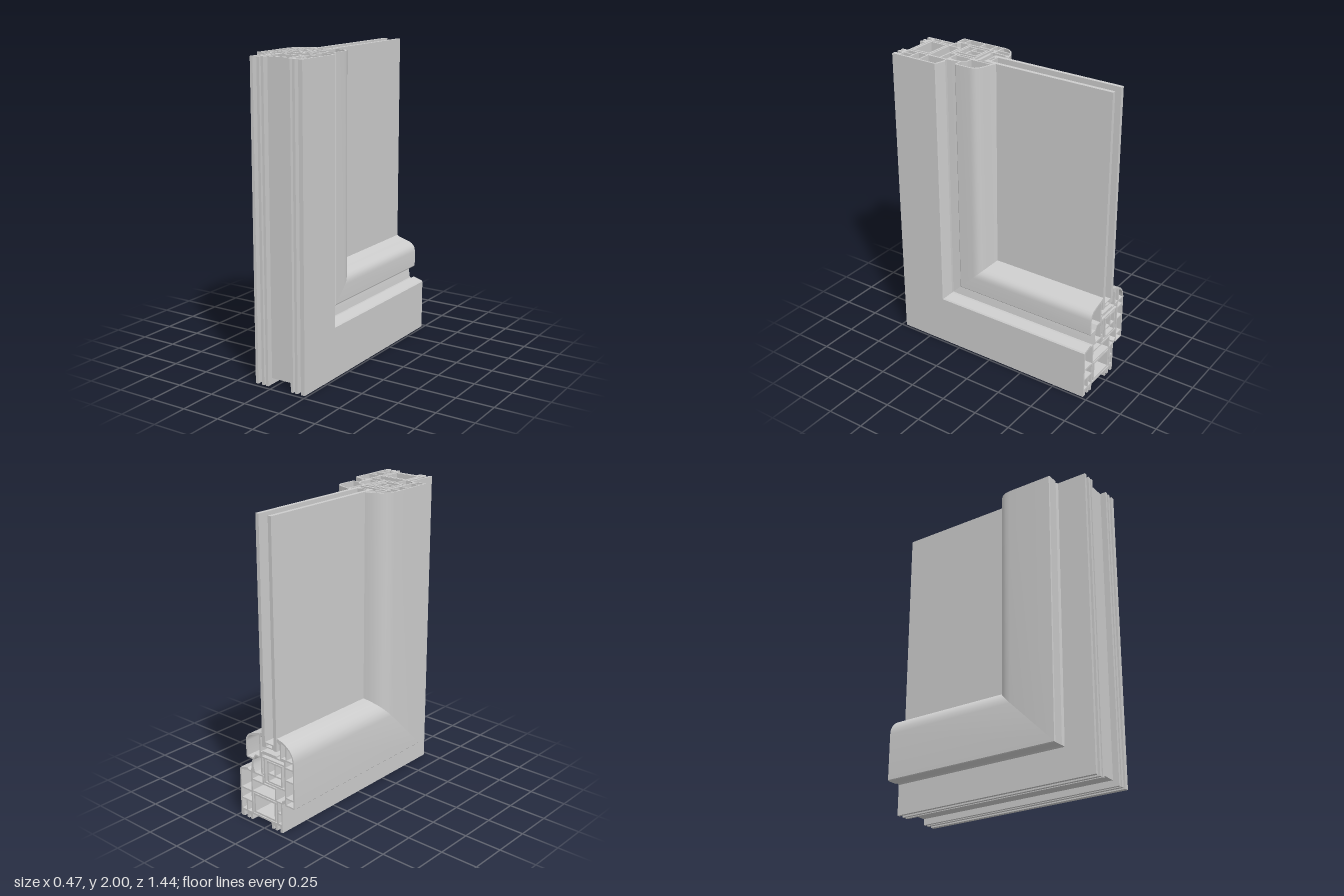
import * as THREE from 'three';
import { toCreasedNormals } from 'three/addons/utils/BufferGeometryUtils.js';

const L = 0.72; // half depth of the sample
const H = 2;    // height of the sample
const material = new THREE.MeshStandardMaterial({ color: 0xcccccc });

// Closed rectangle as [x, d] points; d is the distance in from the outer edge
const rect = (x0, d0, x1, d1) => [[x0, d0], [x1, d0], [x1, d1], [x0, d1]];
const toPoints = (list) => list.map(([x, d]) => new THREE.Vector2(x, d));

// One leg of a profile, cut square at its free end and mitred at the corner
function legGeometry(outline, holes, upright) {
  const shape = new THREE.Shape(toPoints(outline));
  holes.forEach((h) => shape.holes.push(new THREE.Path(toPoints(h))));
  const geo = new THREE.ExtrudeGeometry(shape, { depth: 1, bevelEnabled: false });
  geo.deleteAttribute('uv');
  const p = geo.attributes.position;
  for (let i = 0; i < p.count; i++) {
    const x = p.getX(i), d = p.getY(i), end = p.getZ(i) > 0.5;
    if (upright) p.setXYZ(i, x, end ? H : d, L - d);
    else p.setXYZ(i, x, d, end ? -L : L - d);
  }
  // The lying leg is mirrored, so its triangles are turned round
  if (!upright) {
    const a = new THREE.Vector3(), b = new THREE.Vector3();
    for (let i = 0; i < p.count; i += 3) {
      a.fromBufferAttribute(p, i + 1);
      b.fromBufferAttribute(p, i + 2);
      p.setXYZ(i + 1, b.x, b.y, b.z);
      p.setXYZ(i + 2, a.x, a.y, a.z);
    }
  }
  return toCreasedNormals(geo, 0.5);
}

// Both legs of an L-shaped corner
function corner(name, outline, holes = []) {
  const group = new THREE.Group();
  group.name = name;
  for (const upright of [true, false]) {
    const mesh = new THREE.Mesh(legGeometry(outline, holes, upright), material);
    mesh.name = name + (upright ? 'Upright' : 'Sill');
    group.add(mesh);
  }
  return group;
}

export function createModel() {
  const model = new THREE.Group();
  model.name = 'windowCornerSample';

  // Fixed outer frame: feet, outer walls, chambered body
  model.add(corner('frame', [
    [-0.13, 0], [-0.11, 0], [-0.11, 0.04], [-0.083, 0.04],
    [-0.083, 0], [-0.065, 0], [-0.065, 0.025], [-0.052, 0.025], [-0.052, 0], [-0.035, 0], [-0.035, 0.04],
    [0.133, 0.04], [0.133, 0], [0.15, 0], [0.15, 0.025], [0.165, 0.025], [0.165, 0], [0.183, 0], [0.183, 0.04],
    [0.207, 0.04], [0.207, 0], [0.235, 0],
    [0.235, 0.33], [0.228, 0.338], [0.165, 0.356], [0.155, 0.345], [0.025, 0.345], [0.025, 0.292],
    [-0.08, 0.292], [-0.08, 0.21], [-0.13, 0.21],
  ], [
    rect(-0.12, 0.055, -0.095, 0.12), rect(-0.12, 0.13, -0.095, 0.2),
    rect(-0.083, 0.052, 0.125, 0.2),
    rect(-0.07, 0.21, 0.125, 0.282), rect(0.035, 0.292, 0.125, 0.335),
    rect(0.137, 0.052, 0.175, 0.12), rect(0.185, 0.052, 0.223, 0.12),
    rect(0.137, 0.13, 0.223, 0.195),
    [[0.137, 0.205], [0.223, 0.205], [0.223, 0.325], [0.17, 0.338], [0.137, 0.335]],
  ]));

  // Opening sash: overlap leg, core and rounded lips on both sides of the glass
  model.add(corner('sash', [
    [-0.23, 0.2], [-0.16, 0.2], [-0.155, 0.206], [-0.155, 0.3], [0.02, 0.3], [0.02, 0.35], [0.045, 0.35],
    [0.045, 0.46], [0.09, 0.46], [0.105, 0.43], [0.165, 0.43], [0.172, 0.438],
    [0.172, 0.54], [0.169, 0.562], [0.16, 0.58], [0.145, 0.594], [0.125, 0.604], [0.1, 0.612], [0.045, 0.628],
    [0.03, 0.637], [0.03, 0.615], [0.045, 0.6], [0.045, 0.505],
    [-0.12, 0.505], [-0.12, 0.6], [-0.1, 0.612], [-0.1, 0.637],
    [-0.14, 0.626], [-0.17, 0.612], [-0.197, 0.593], [-0.217, 0.57], [-0.23, 0.542], [-0.235, 0.51], [-0.235, 0.205],
  ], [
    rect(-0.225, 0.21, -0.165, 0.25), rect(-0.225, 0.26, -0.165, 0.37), rect(-0.225, 0.38, -0.165, 0.455),
    rect(-0.225, 0.465, -0.165, 0.505),
    [[-0.225, 0.515], [-0.175, 0.515], [-0.175, 0.597], [-0.2, 0.577], [-0.218, 0.55]],
    [[-0.165, 0.515], [-0.13, 0.515], [-0.13, 0.615], [-0.165, 0.603]],
    rect(-0.153, 0.31, 0.01, 0.465), rect(0.02, 0.36, 0.035, 0.465), rect(-0.153, 0.475, 0.035, 0.495),
    [[0.055, 0.47], [0.095, 0.47], [0.112, 0.44], [0.162, 0.44], [0.162, 0.54], [0.155, 0.565], [0.14, 0.584],
      [0.1, 0.6], [0.055, 0.613]],
  ]));

  // Metal stiffeners inside the chambers
  model.add(corner('frameStiffener', rect(-0.075, 0.058, 0.115, 0.194), [rect(-0.063, 0.07, 0.103, 0.182)]));
  model.add(corner('sashStiffener', rect(-0.135, 0.315, -0.01, 0.46),
    [rect(-0.125, 0.325, -0.02, 0.37), rect(-0.125, 0.38, -0.08, 0.45), rect(-0.07, 0.38, -0.02, 0.45)]));

  // Rubber seals between frame and sash
  model.add(corner('innerSeal', [[0.1, 0.345], [0.135, 0.345], [0.128, 0.39], [0.12, 0.43], [0.108, 0.43], [0.114, 0.39]]));
  model.add(corner('outerSeal', [[-0.155, 0.215], [-0.13, 0.2], [-0.13, 0.222], [-0.155, 0.235]]));

  // Glazing: spacer bar, setting block and two panes
  model.add(corner('spacer', rect(-0.066, 0.548, 0.006, 0.582), [rect(-0.056, 0.556, -0.004, 0.574)]));
  model.add(corner('settingBlock', rect(-0.09, 0.505, 0.03, 0.515)));
  const edge = 0.545;
  for (const [name, x] of [['outerPane', -0.08], ['innerPane', 0.0175]]) {
    const pane = new THREE.Mesh(new THREE.BoxGeometry(0.025, H - edge, 2 * L - edge), material);
    pane.name = name;
    pane.position.set(x, (H + edge) / 2, -edge / 2);
    model.add(pane);
  }
  return model;
}
